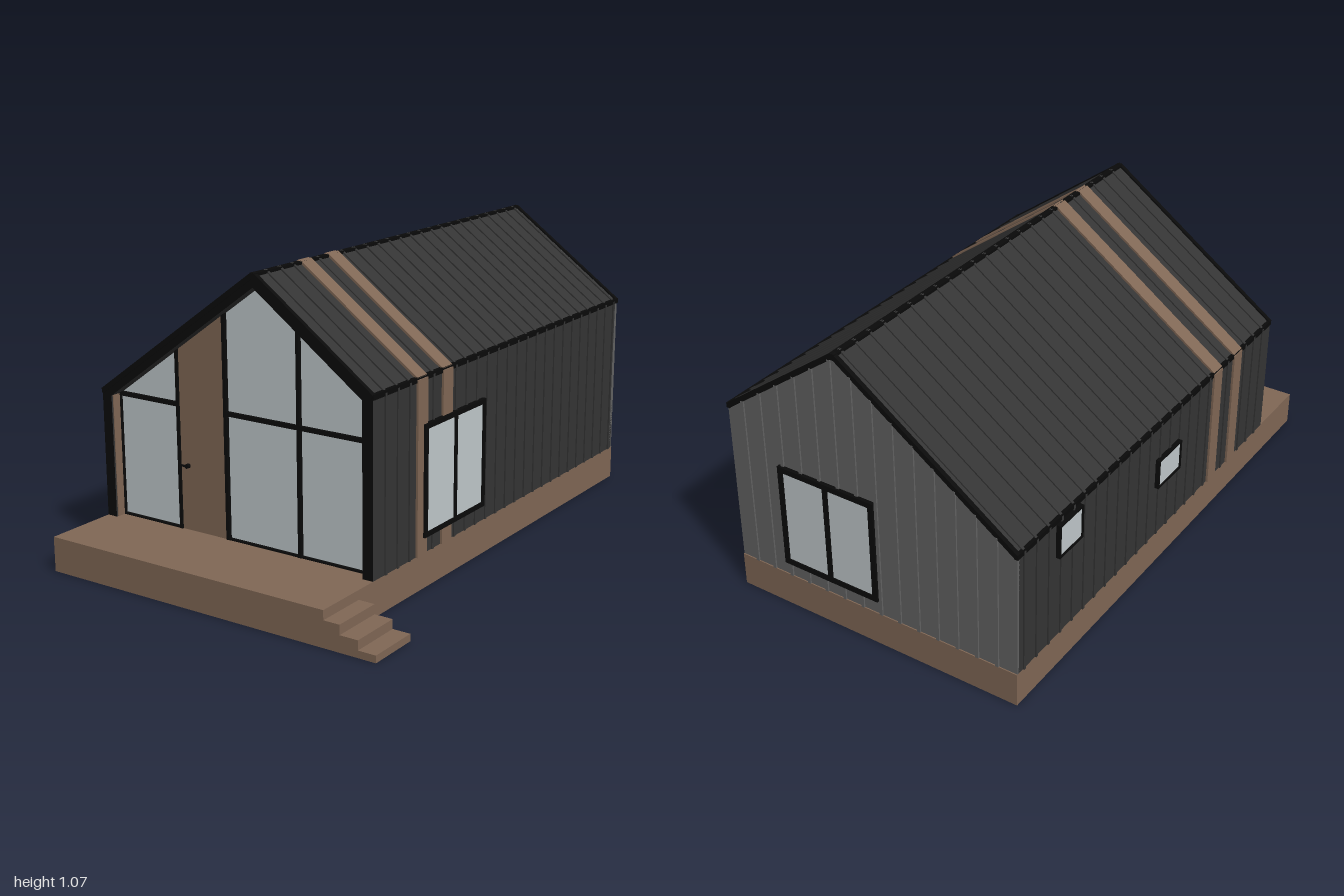
import * as THREE from 'three';

const mat = (name, color, side = THREE.FrontSide) => {
  const m = new THREE.MeshStandardMaterial({ color, side });
  m.name = name;
  return m;
};

export function createModel() {
  const root = new THREE.Group();
  root.name = 'cabin';
  const wood = mat('brown wood', 0x806755);
  const clad = mat('charcoal cladding', 0x343434);
  const grey = mat('grey back cladding', 0x626262);
  const black = mat('black trim', 0x0a0a0a);
  const glass = mat('pale glass', 0xc0c8cb);

  const add = (name, geo, material, parent = root) => {
    const m = new THREE.Mesh(geo, material);
    m.name = name;
    parent.add(m);
    return m;
  };
  // Box given by its min and max on each axis
  const box = (name, material, x0, x1, y0, y1, z0, z1, parent = root) => {
    const m = add(name, new THREE.BoxGeometry(x1 - x0, y1 - y0, z1 - z0), material, parent);
    m.position.set((x0 + x1) / 2, (y0 + y1) / 2, (z0 + z1) / 2);
    return m;
  };
  const extrude = (name, pts, material, z0, depth) => {
    const shape = new THREE.Shape(pts.map(([x, y]) => new THREE.Vector2(x, y)));
    const m = add(name, new THREE.ExtrudeGeometry(shape, { depth, bevelEnabled: false }), material);
    m.position.z = z0;
    return m;
  };

  // Asymmetric gable profile: left wall, left slope, right slope, right wall
  const XL = -0.66, XR = 0.47, XM = 0.01, BASE = 0.125;
  const FRONT = 0.73, BACK = -1;
  const path = [[XL, BASE], [XL, 0.585], [XM, 1.065], [XR, 0.73], [XR, BASE]];
  const roofY = (x) => x < XM
    ? 0.585 + (x - XL) / (XM - XL) * 0.48
    : 1.065 - (x - XM) / (XR - XM) * 0.335;
  const innerY = (x) => roofY(x) - 0.045;
  // Polygon between x0 and x1, from y0 up to the underside of the roof
  const underRoof = (x0, x1, y0) => {
    const pts = [[x0, y0], [x1, y0], [x1, innerY(x1)]];
    if (x0 < XM && x1 > XM) pts.push([XM, innerY(XM)]);
    pts.push([x0, innerY(x0)]);
    return pts;
  };
  // Strip lying on the outside of profile segment i
  const strip = (name, material, i, z, width, thick, lift = 0) => {
    const [ax, ay] = path[i], [bx, by] = path[i + 1];
    const len = Math.hypot(bx - ax, by - ay);
    const nx = -(by - ay) / len, ny = (bx - ax) / len, o = thick / 2 + lift;
    const m = add(name, new THREE.BoxGeometry(len, thick, width), material);
    m.position.set((ax + bx) / 2 + nx * o, (ay + by) / 2 + ny * o, z);
    m.rotation.z = Math.atan2(by - ay, bx - ax);
  };

  // Deck base and steps
  box('base', wood, XL, XR, 0, BASE, -1, 1);
  [[0.53, 0.092], [0.597, 0.058], [0.662, 0.025]].forEach(([x, h], i) =>
    box('step', wood, i ? [0.53, 0.597][i - 1] : XR, x, 0, h, 0.81, 1));

  // Roof and side walls as one shell, with black front edges
  const XI0 = XL + 0.04, XI1 = XR - 0.04;
  const shell = [...path, [XI1, BASE], [XI1, innerY(XI1)], [XM, innerY(XM)], [XI0, innerY(XI0)], [XI0, BASE]];
  extrude('shell', shell.reverse(), [black, clad], BACK + 0.01, FRONT - BACK - 0.01);
  box('sideLining', wood, XI0, XI0 + 0.003, BASE, innerY(XI0), 0.68, FRONT - 0.006);
  box('sideLining', wood, XI1 - 0.003, XI1, BASE, innerY(XI1), 0.68, FRONT - 0.006);

  // Back gable wall with battens
  extrude('backWall', [...path].reverse(), grey, BACK + 0.004, 0.03);
  for (let x = XL + 0.075; x < XR - 0.02; x += 0.076) {
    box('backBatten', grey, x - 0.006, x + 0.006, BASE, roofY(x) - 0.012, BACK - 0.002, BACK + 0.004);
  }

  // Standing seams on the roof and battens on the side walls
  for (let z = 0.66; z > BACK + 0.03; z -= 0.0705) {
    for (let i = 0; i < 4; i++) strip(i === 1 || i === 2 ? 'roofSeam' : 'wallBatten', clad, i, z, 0.01, 0.005);
  }

  // Wooden bands wrapping the house
  for (const z of [0.45, 0.295]) {
    for (let i = 0; i < 4; i++) strip('woodBand', wood, i, z, 0.06, 0.008);
  }

  // Black verge, eave and ridge trims
  for (const z of [FRONT - 0.005, BACK + 0.007]) {
    for (const i of [1, 2]) strip('vergeTrim', black, i, z, 0.016, 0.018, -0.012);
  }
  box('eaveTrim', black, XL - 0.004, XL + 0.01, 0.573, 0.591, BACK, FRONT);
  box('eaveTrim', black, XR - 0.01, XR + 0.004, 0.72, 0.738, BACK, FRONT);
  box('ridgeCap', black, XM - 0.011, XM + 0.011, 1.045, 1.067, BACK, FRONT);

  // Glazed front, set back under the roof
  const ZF = 0.68;
  extrude('frontGlass', underRoof(XI0, XI1, BASE), glass, ZF - 0.01, 0.01);
  extrude('frontDoor', underRoof(-0.35, -0.15, BASE), wood, ZF, 0.008);
  for (const x of [-0.353, -0.147, 0.155]) {
    extrude('mullion', underRoof(x - 0.006, x + 0.006, BASE), black, ZF, 0.014);
  }
  box('transom', black, XI0, -0.353, 0.562, 0.577, ZF, ZF + 0.012);
  box('transom', black, -0.147, XI1, 0.562, 0.577, ZF, ZF + 0.012);
  box('sill', black, XI0, -0.353, BASE, BASE + 0.006, ZF, ZF + 0.012);
  box('sill', black, -0.147, XI1, BASE, BASE + 0.006, ZF, ZF + 0.012);
  for (const x of [XI0, XI1 - 0.005]) {
    box('jamb', black, x, x + 0.005, BASE, innerY(x + 0.003), ZF, ZF + 0.012);
  }
  box('doorHandle', black, -0.343, -0.312, 0.355, 0.361, ZF + 0.016, ZF + 0.022);
  const knob = add('doorHandleRose', new THREE.CylinderGeometry(0.008, 0.008, 0.018, 12), black);
  knob.rotation.x = Math.PI / 2;
  knob.position.set(-0.315, 0.358, ZF + 0.013);

  // Framed window facing +z, turned onto its wall
  const windowUnit = (name, w, h, f, split, pos, turn) => {
    const g = new THREE.Group();
    g.name = name;
    box('pane', glass, -w / 2 + f / 2, w / 2 - f / 2, -h / 2 + f / 2, h / 2 - f / 2, -0.005, 0.011, g);
    for (const s of [-1, 1]) {
      const x = s * (w - f) / 2, y = s * (h - f) / 2;
      box('frameSide', black, x - f / 2, x + f / 2, -h / 2, h / 2, -0.005, 0.016, g);
      box('frameRail', black, -w / 2, w / 2, y - f / 2, y + f / 2, -0.005, 0.016, g);
    }
    if (split) box('windowMullion', black, -f / 2, f / 2, -h / 2, h / 2, -0.005, 0.015, g);
    g.position.set(...pos);
    g.rotation.y = turn;
    root.add(g);
  };
  windowUnit('rightWindow', 0.39, 0.39, 0.017, true, [XR, 0.38, 0.25], Math.PI / 2);
  windowUnit('backWindow', 0.39, 0.39, 0.02, true, [0.072, 0.375, BACK + 0.006], Math.PI);
  windowUnit('smallWindow', 0.14, 0.125, 0.007, false, [XL, 0.505, -0.71], -Math.PI / 2);
  windowUnit('smallWindow', 0.16, 0.115, 0.007, false, [XL, 0.39, -0.06], -Math.PI / 2);

  return root;
}
